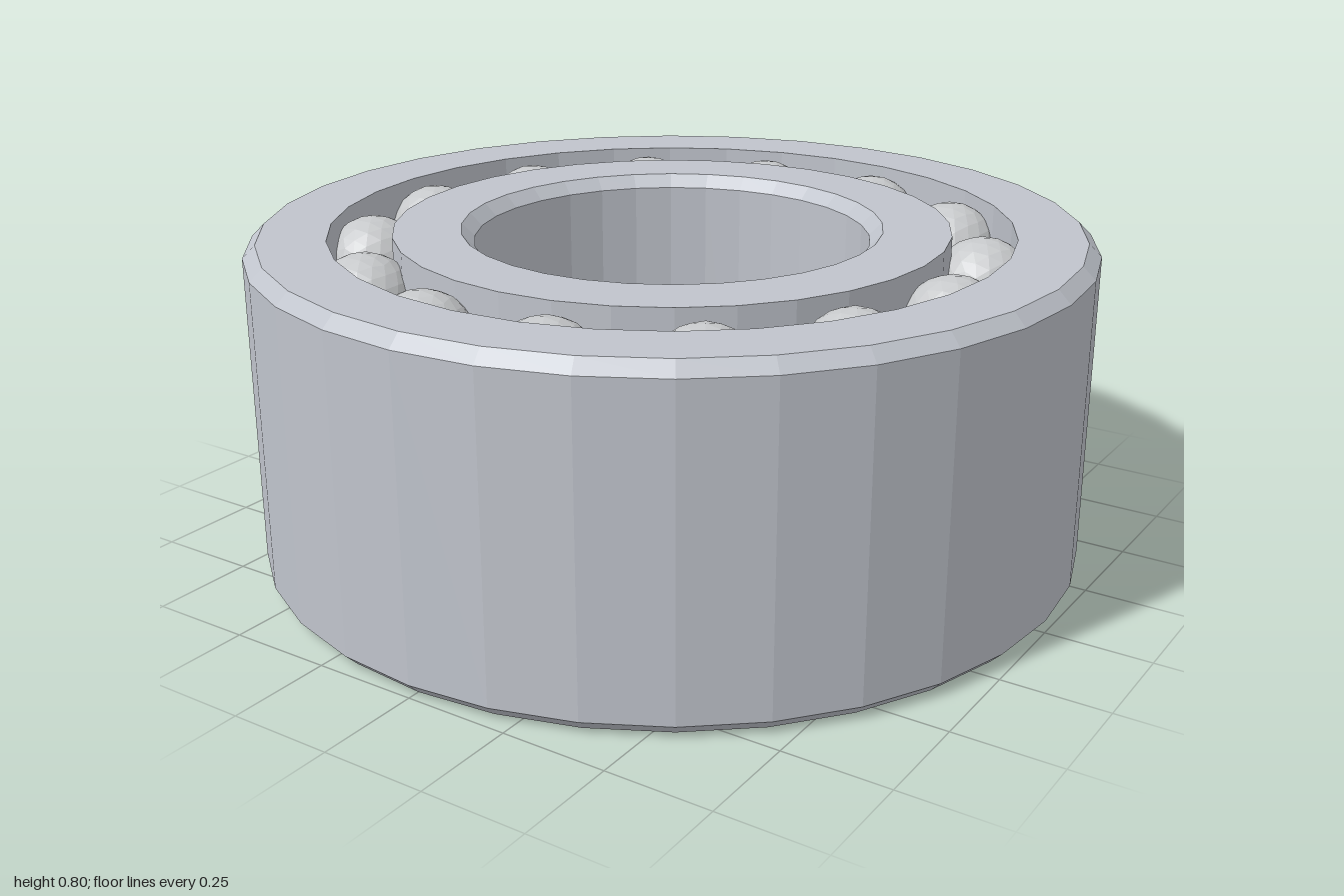
import * as THREE from 'three';

const HEIGHT = 0.8;
const CHAMFER = 0.03;
const SIDES = 32;

// Closed ring profile; chamfers go on the outer or the inner rim
function ring(name, inner, outer, chamferOuter, material) {
  const co = chamferOuter ? CHAMFER : 0;
  const ci = chamferOuter ? 0 : CHAMFER;
  const profile = [
    [inner + ci, 0], [outer - co, 0], [outer, co], [outer, HEIGHT - co],
    [outer - co, HEIGHT], [inner + ci, HEIGHT], [inner, HEIGHT - ci], [inner, ci], [inner + ci, 0],
  ].map(([r, y]) => new THREE.Vector2(r, y))
    .filter((p, i, all) => i === 0 || p.distanceTo(all[i - 1]) > 1e-6);
  const mesh = new THREE.Mesh(new THREE.LatheGeometry(profile, SIDES), material);
  mesh.name = name;
  return mesh;
}

export function createModel() {
  const steel = new THREE.MeshStandardMaterial({ color: 0xc0c4cc, flatShading: true });
  steel.name = 'ring steel';
  const ballSteel = new THREE.MeshStandardMaterial({ color: 0xc6c8ca, flatShading: true });
  ballSteel.name = 'ball steel';

  const model = new THREE.Group();
  model.name = 'ballBearing';

  // Races
  model.add(ring('outerRing', 0.81, 1, true, steel));
  model.add(ring('innerRing', 0.47, 0.66, false, steel));

  // Two rows of balls, seated slightly into both races
  const ballGeometry = new THREE.IcosahedronGeometry(0.12, 3);
  const count = 14;
  [['lowerBallRow', 0.13], ['upperBallRow', HEIGHT - 0.13]].forEach(([name, y]) => {
    const row = new THREE.Group();
    row.name = name;
    for (let i = 0; i < count; i++) {
      const a = (i / count) * Math.PI * 2;
      const ball = new THREE.Mesh(ballGeometry, ballSteel);
      ball.name = 'ball';
      ball.position.set(0.735 * Math.cos(a), y, 0.735 * Math.sin(a));
      row.add(ball);
    }
    model.add(row);
  });

  return model;
}
